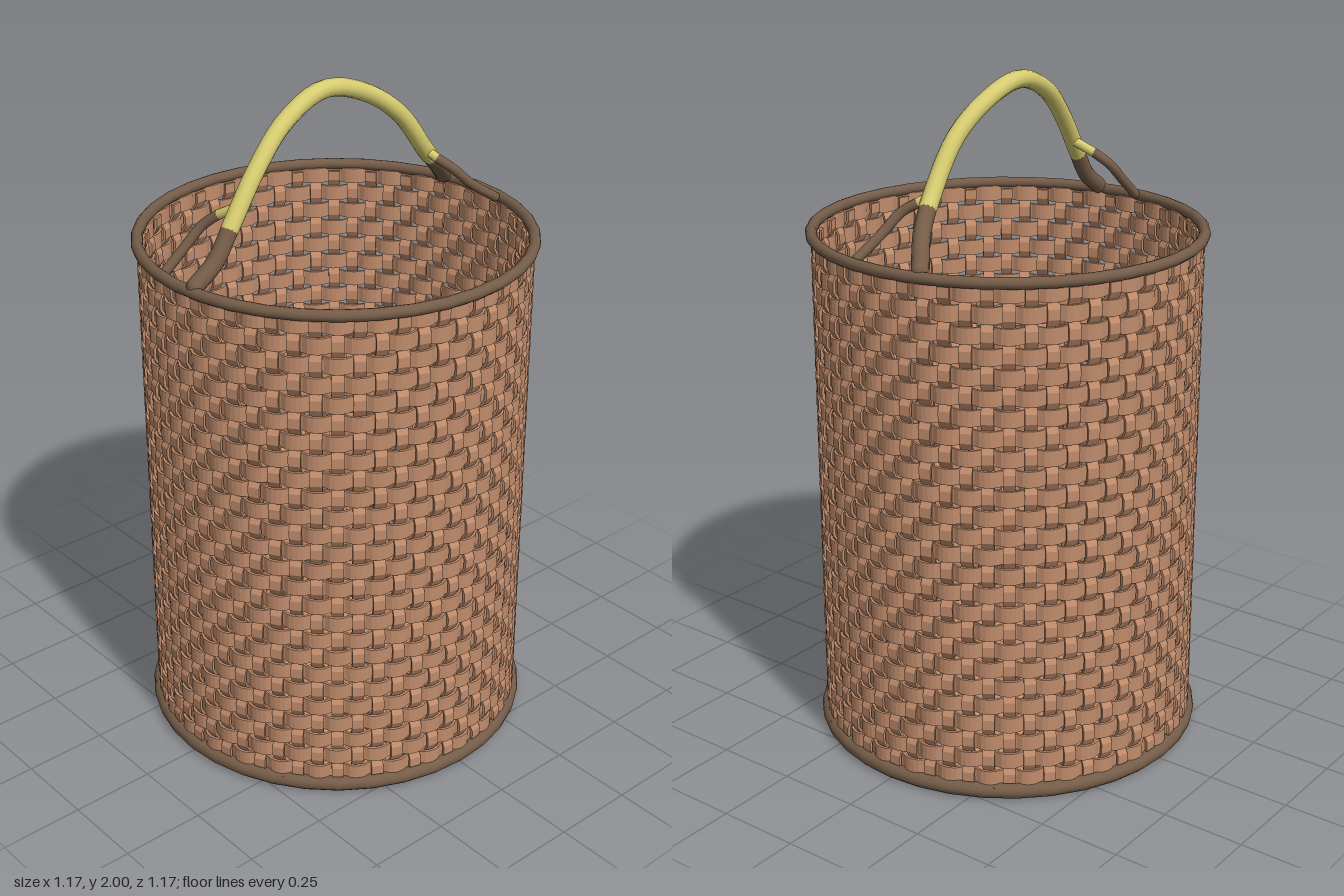
import * as THREE from 'three';
import { mergeGeometries } from 'three/addons/utils/BufferGeometryUtils.js';

const wicker = new THREE.MeshStandardMaterial({ color: 0xc08c6c, flatShading: true });
const bark = new THREE.MeshStandardMaterial({ color: 0x745c48 });
const grip = new THREE.MeshStandardMaterial({ color: 0xd6cc70 });

const V = (x, y, z) => new THREE.Vector3(x, y, z);
const sign = (k) => (Math.abs(k) % 2 ? -1 : 1);

// Flat band of rectangular section; at(i) gives centre p, half-width w, half-thickness t
function strip(count, closed, at) {
  const pos = [], idx = [];
  for (let i = 0; i < count; i++) {
    const { p, w, t } = at(i);
    for (const [a, b] of [[-1, -1], [1, -1], [1, 1], [-1, 1]]) {
      pos.push(p.x + a * w.x + b * t.x, p.y + a * w.y + b * t.y, p.z + a * w.z + b * t.z);
    }
  }
  const segments = closed ? count : count - 1;
  for (let i = 0; i < segments; i++) {
    const a = i * 4, b = ((i + 1) % count) * 4;
    for (let j = 0; j < 4; j++) {
      const k = (j + 1) % 4;
      idx.push(a + j, a + k, b + k, a + j, b + k, b + j);
    }
  }
  if (!closed) {
    const e = (count - 1) * 4;
    idx.push(0, 2, 1, 0, 3, 2, e, e + 1, e + 2, e, e + 2, e + 3);
  }
  const g = new THREE.BufferGeometry();
  g.setAttribute('position', new THREE.Float32BufferAttribute(pos, 3));
  g.setIndex(idx);
  const flat = g.toNonIndexed();
  flat.computeVertexNormals();
  return flat;
}

function add(group, name, geometry, material) {
  const mesh = new THREE.Mesh(geometry, material);
  mesh.name = name;
  group.add(mesh);
  return mesh;
}

const RADIUS = 0.556, WAVE = 0.008, THICK = 0.004;
const ROWS = 26, STAKES = 60, Y0 = 0.035, PITCH = 1.51 / ROWS;
const STEP = (Math.PI * 2) / STAKES;

// Horizontal bands running in front of and behind the stakes
function wallBands() {
  const bands = [];
  for (let r = 0; r < ROWS; r++) {
    bands.push(strip(STAKES * 4, true, (i) => {
      const u = (i + 0.5) / 4;
      const wave = THREE.MathUtils.clamp(1.5 * Math.cos(u * Math.PI), -1, 1) * sign(r);
      const a = (u + 0.25) * STEP;
      const out = V(Math.sin(a), 0, Math.cos(a));
      const p = out.clone().multiplyScalar(RADIUS + WAVE * wave);
      p.y = Y0 + (r + 0.5) * PITCH;
      return { p, w: V(0, 0.0235, 0), t: out.multiplyScalar(THICK) };
    }));
  }
  return mergeGeometries(bands);
}

// Upright stakes, bent the opposite way at each row
function wallStakes() {
  const stakes = [];
  for (let k = 0; k < STAKES; k++) {
    const a = (k + 0.25) * STEP;
    const out = V(Math.sin(a), 0, Math.cos(a));
    stakes.push(strip(ROWS * 2, false, (i) => {
      const p = out.clone().multiplyScalar(RADIUS - WAVE * sign(Math.floor(i / 2) + k));
      p.y = Y0 + (i / 2 + 0.25) * PITCH;
      return {
        p,
        w: V(-Math.cos(a), 0, Math.sin(a)).multiplyScalar(0.0175),
        t: out.clone().multiplyScalar(THICK),
      };
    }));
  }
  return mergeGeometries(stakes);
}

// One direction of the woven base: strips spaced by "gap", crossing others spaced by "cross"
function baseStrips(alongX, gap, cross, halfWidth) {
  const strips = [], n = Math.floor(0.54 / gap);
  for (let r = -n; r <= n; r++) {
    const offset = r * gap;
    const half = Math.round(Math.sqrt(0.56 ** 2 - offset ** 2) / (cross / 2));
    if (half < 1) continue;
    strips.push(strip(half * 2, false, (i) => {
      const s = (i - half + 0.5) * cross / 2;
      const wave = sign(r + Math.round(s / cross)) * (alongX ? 1 : -1);
      const y = 0.03 + 0.007 * wave;
      return {
        p: alongX ? V(s, y, offset) : V(offset, y, s),
        w: alongX ? V(0, 0, -halfWidth) : V(halfWidth, 0, 0),
        t: V(0, 0.0035, 0),
      };
    }));
  }
  return mergeGeometries(strips);
}

// Round branch through points, with rounded ends
function branch(group, name, points, radius, material) {
  const curve = new THREE.CatmullRomCurve3(points);
  add(group, name, new THREE.TubeGeometry(curve, 32, radius, 12), material);
  for (const p of [points[0], points[points.length - 1]]) {
    add(group, name + 'End', new THREE.SphereGeometry(radius, 12, 8), material).position.copy(p);
  }
}

function rim(group, name, y, radius, tube) {
  const g = new THREE.TorusGeometry(radius, tube, 12, 36).rotateX(Math.PI / 2);
  add(group, name, g, bark).position.y = y;
}

export function createModel() {
  const model = new THREE.Group();
  model.name = 'basket';

  const wall = new THREE.Group();
  wall.name = 'wovenWall';
  add(wall, 'wallBands', wallBands(), wicker);
  add(wall, 'wallStakes', wallStakes(), wicker);

  const base = new THREE.Group();
  base.name = 'wovenBase';
  add(base, 'baseStrips', baseStrips(true, 0.0437, 0.0575, 0.021), wicker);
  add(base, 'baseCrossStrips', baseStrips(false, 0.0575, 0.0437, 0.023), wicker);

  rim(model, 'bottomRim', 0.023, 0.562, 0.023);
  rim(model, 'topRim', 1.548, 0.567, 0.017);

  // Handle: one bent branch, bare in the middle and barked at both feet
  const handle = new THREE.Group();
  handle.name = 'handle';
  const path = new THREE.CatmullRomCurve3([
    V(-0.55, 1.56, 0.062), V(-0.48, 1.61, 0.06), V(-0.41, 1.70, 0.05), V(-0.31, 1.82, 0.03),
    V(-0.19, 1.92, 0.005), V(-0.03, 1.975, -0.015), V(0.12, 1.935, -0.012), V(0.24, 1.85, 0),
    V(0.36, 1.705, -0.01), V(0.44, 1.635, -0.045), V(0.535, 1.56, -0.115),
  ]).getPoints(80);
  const left = path.findIndex((p) => p.x > -0.42);
  const right = path.findIndex((p) => p.x > 0.38);
  branch(handle, 'rightFoot', path.slice(0, left + 1), 0.025, bark);
  branch(handle, 'gripBranch', path.slice(left, right + 1), 0.026, grip);
  branch(handle, 'leftFoot', path.slice(right), 0.025, bark);

  // Thin side shoots that fork off to the rim
  branch(handle, 'rightShootStub', [V(-0.37, 1.74, 0.04), V(-0.385, 1.72, 0.01), V(-0.4, 1.70, -0.025)], 0.014, grip);
  branch(handle, 'rightShoot', [V(-0.4, 1.70, -0.025), V(-0.43, 1.665, -0.06), V(-0.48, 1.61, -0.075), V(-0.54, 1.555, -0.082)], 0.0145, bark);
  branch(handle, 'leftShootStub', [V(0.35, 1.71, 0), V(0.362, 1.70, 0.015), V(0.37, 1.69, 0.03)], 0.014, grip);
  branch(handle, 'leftShoot', [V(0.37, 1.69, 0.03), V(0.395, 1.665, 0.065), V(0.45, 1.61, 0.092), V(0.53, 1.555, 0.112)], 0.0145, bark);

  model.add(wall, base, handle);
  return model;
}
